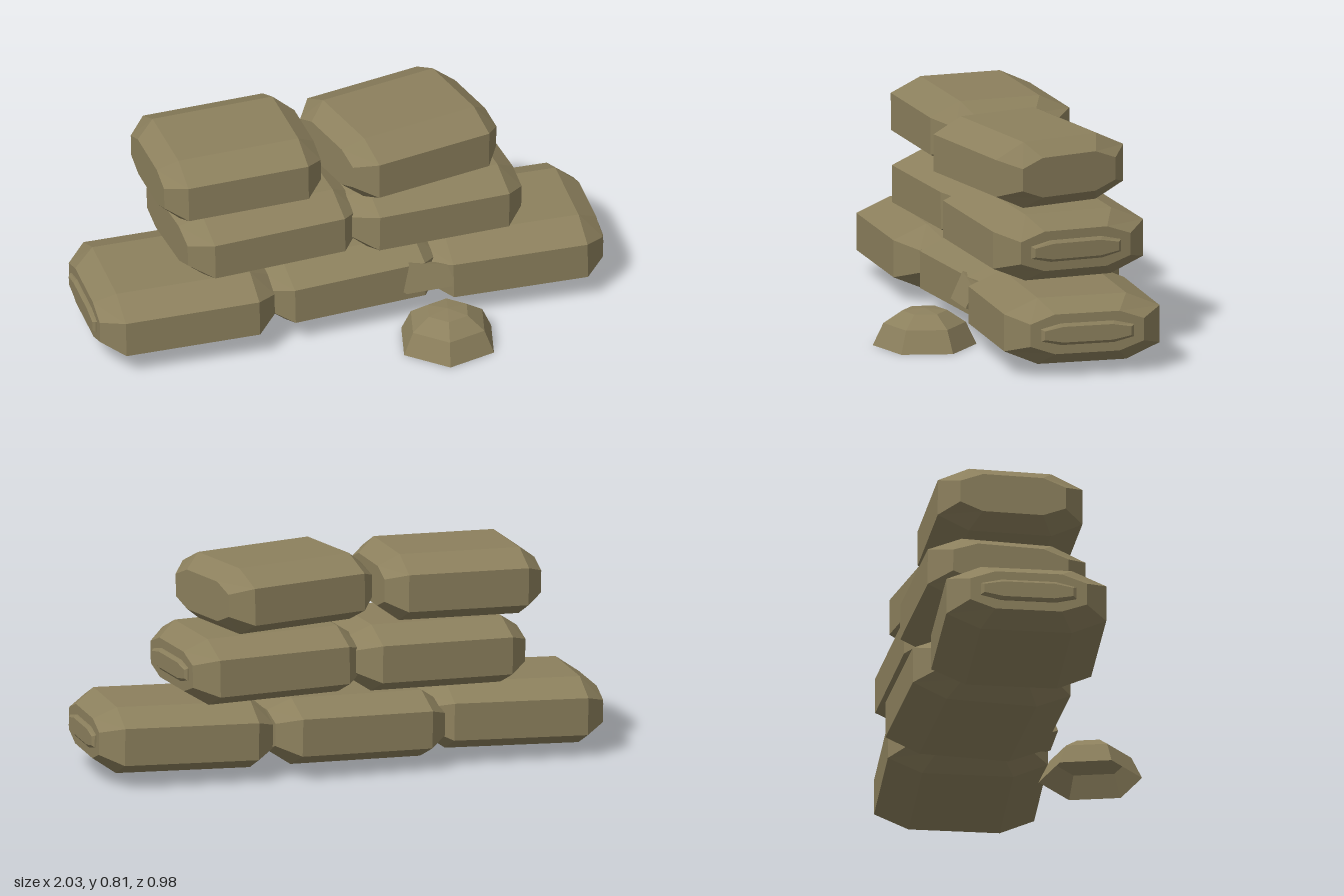
import * as THREE from 'three';

const burlap = new THREE.MeshStandardMaterial({ color: 0x8c805d, flatShading: true, side: THREE.DoubleSide });
burlap.name = 'burlap';

// Flattened octagon in the zy plane, scaled for the bag ends
function section(x, halfW, halfH, s = 1) {
  const w = halfW * s, h = halfH * s, tw = w * 0.57, sh = h * 0.56;
  return [[h, -tw], [h, tw], [sh, w], [-sh, w], [-h, tw], [-h, -tw], [-sh, -w], [sh, -w]]
    .map(([y, z]) => new THREE.Vector3(x, y, z));
}

// Skin a list of rings along +x and close both ends
function loft(rings) {
  const tris = [];
  const n = rings[0].length;
  for (let i = 0; i < rings.length - 1; i++) {
    for (let k = 0; k < n; k++) {
      const m = (k + 1) % n;
      const a = rings[i][k], b = rings[i][m], c = rings[i + 1][m], d = rings[i + 1][k];
      tris.push(a, b, c, a, c, d);
    }
  }
  const first = rings[0], last = rings[rings.length - 1];
  for (let k = 1; k < n - 1; k++) {
    tris.push(first[0], first[k + 1], first[k], last[0], last[k], last[k + 1]);
  }
  const geo = new THREE.BufferGeometry().setFromPoints(tris);
  geo.computeVertexNormals();
  return geo;
}

function mesh(name, geo) {
  const m = new THREE.Mesh(geo, burlap);
  m.name = name;
  return m;
}

// One filled bag; seam is -1 or 1 for the end with the stitched lip, 0 for none
function sandbag({ name, pos, turn, tilt, scale = 1, seam = 0 }) {
  const bag = new THREE.Group();
  bag.name = name;
  const body = 0.26 * scale, end = 0.34 * scale, w = 0.302 * scale, h = 0.127;
  bag.add(mesh('bagBody', loft([
    section(-end, w * 0.73, h * 0.6),
    section(-body, w, h),
    section(body, w, h),
    section(end, w * 0.73, h * 0.6),
  ])));
  if (seam) {
    const lip = mesh('seamLip', loft([
      section(-0.01, 0.18, 0.041),
      section(0.006, 0.18, 0.041),
      section(0.015, 0.168, 0.03),
    ]));
    lip.position.x = seam * end;
    if (seam < 0) lip.rotation.y = Math.PI;
    bag.add(lip);
  }
  bag.position.set(...pos);
  bag.rotation.set(0, turn, tilt);
  return bag;
}

export function createModel() {
  const model = new THREE.Group();
  model.name = 'sandbagWall';

  // Three rows of bags
  const bags = [
    { name: 'bottomRightBag', pos: [-0.655, 0.162, -0.13], turn: -0.05, tilt: 0.02, seam: -1 },
    { name: 'bottomMiddleBag', pos: [-0.005, 0.162, -0.18], turn: 0.04, tilt: 0.02 },
    { name: 'bottomLeftBag', pos: [0.646, 0.162, -0.14], turn: -0.06, tilt: 0.015, seam: 1 },
    { name: 'middleRightBag', pos: [-0.323, 0.422, -0.175], turn: 0.04, tilt: 0.015 },
    { name: 'middleLeftBag', pos: [0.32, 0.42, -0.165], turn: 0.05, tilt: -0.018, seam: 1 },
    { name: 'topRightBag', pos: [-0.43, 0.677, -0.165], turn: 0, tilt: 0.015, scale: 0.91 },
    { name: 'topLeftBag', pos: [0.24, 0.677, -0.133], turn: 0.2, tilt: -0.01, scale: 0.91 },
  ];
  for (const b of bags) model.add(sandbag(b));

  // Open six-sided heap of spilled sand
  const profile = [[0.195, 0], [0.155, 0.085], [0.085, 0.132], [0, 0.141]]
    .map(([r, y]) => new THREE.Vector2(r, y));
  const heap = mesh('sandHeap', new THREE.LatheGeometry(profile, 6, Math.PI / 4));
  heap.position.set(0.295, 0, 0.295);
  model.add(heap);

  // Slanted trickle of sand between the bags and the heap
  const outline = new THREE.Shape(
    [[-0.1, -0.05], [0.08, -0.05], [0.1, 0.03], [-0.075, 0.065]].map(([x, y]) => new THREE.Vector2(x, y)));
  const trickle = mesh('sandTrickle', new THREE.ExtrudeGeometry(outline, { depth: 0.05, bevelEnabled: false }));
  trickle.position.set(0.28, 0.172, 0.09);
  trickle.rotation.x = -0.35;
  model.add(trickle);

  return model;
}
